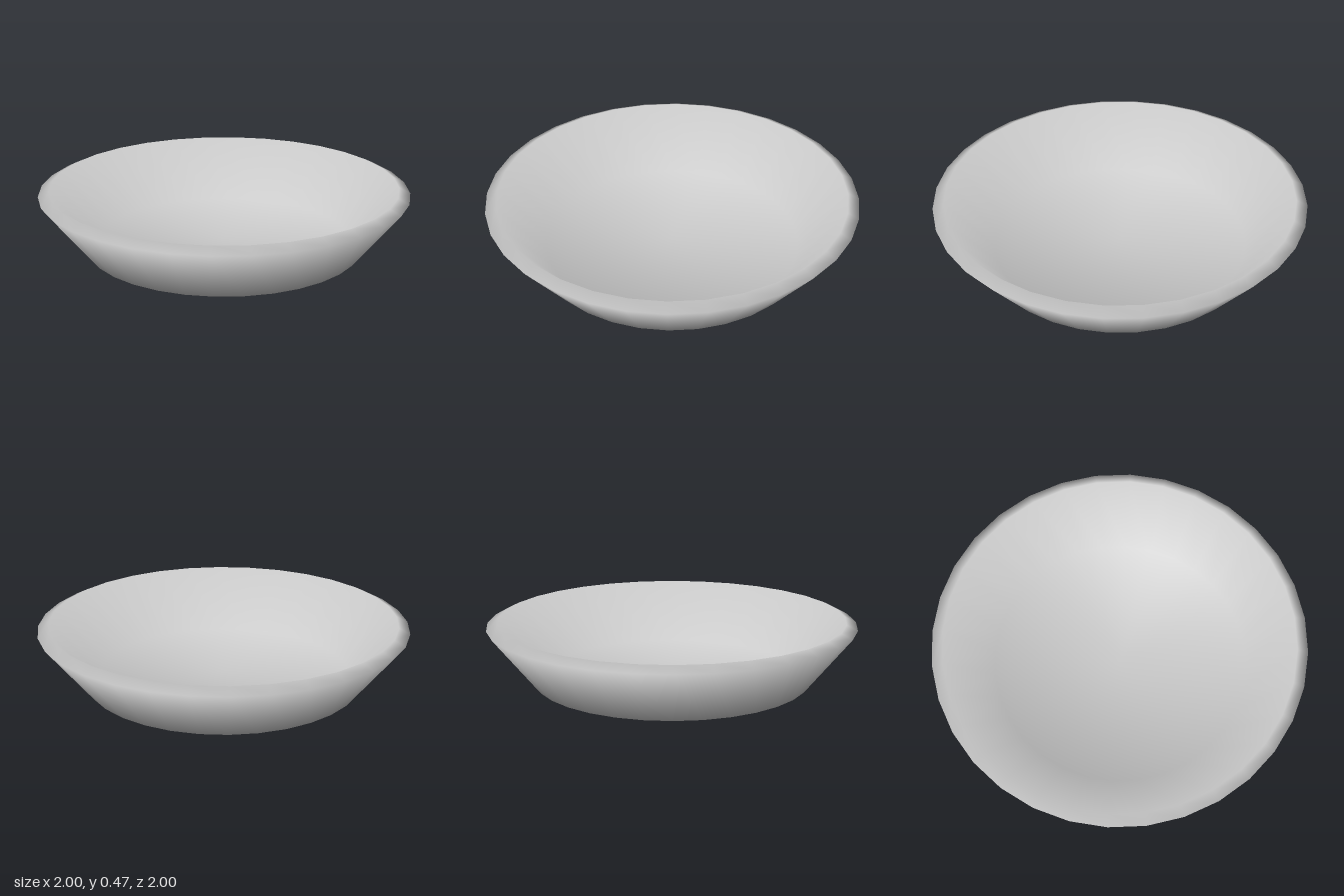
import * as THREE from 'three';

// Lathe whose normals give both neighbouring bands equal weight, for a soft rim
function smoothLathe(points, segments) {
  const geometry = new THREE.LatheGeometry(points, segments);
  const bands = points.slice(1).map((p, i) => {
    const d = p.clone().sub(points[i]).normalize();
    return new THREE.Vector2(d.y, -d.x);
  });
  const normals = geometry.attributes.normal;
  for (let i = 0; i < normals.count; i++) {
    const j = i % points.length;
    const angle = (Math.floor(i / points.length) / segments) * Math.PI * 2;
    const n = (bands[j - 1] ?? bands[j]).clone().add(bands[j] ?? bands[j - 1]).normalize();
    normals.setXYZ(i, n.x * Math.sin(angle), n.y, n.x * Math.cos(angle));
  }
  return geometry;
}

export function createModel() {
  const group = new THREE.Group();
  group.name = 'dish';

  // Closed profile: underside, outer wall, bevelled rim, inner wall, flat floor
  const profile = [
    [0, 0], [0.31, 0], [0.75, 0.13], [1, 0.44],
    [0.94, 0.47], [0.69, 0.16], [0, 0.16],
  ].map(([r, y]) => new THREE.Vector2(r, y));

  const bowl = new THREE.Mesh(
    smoothLathe(profile, 32),
    new THREE.MeshStandardMaterial({ color: 0xcccccc }),
  );
  bowl.name = 'bowl';
  group.add(bowl);
  return group;
}
